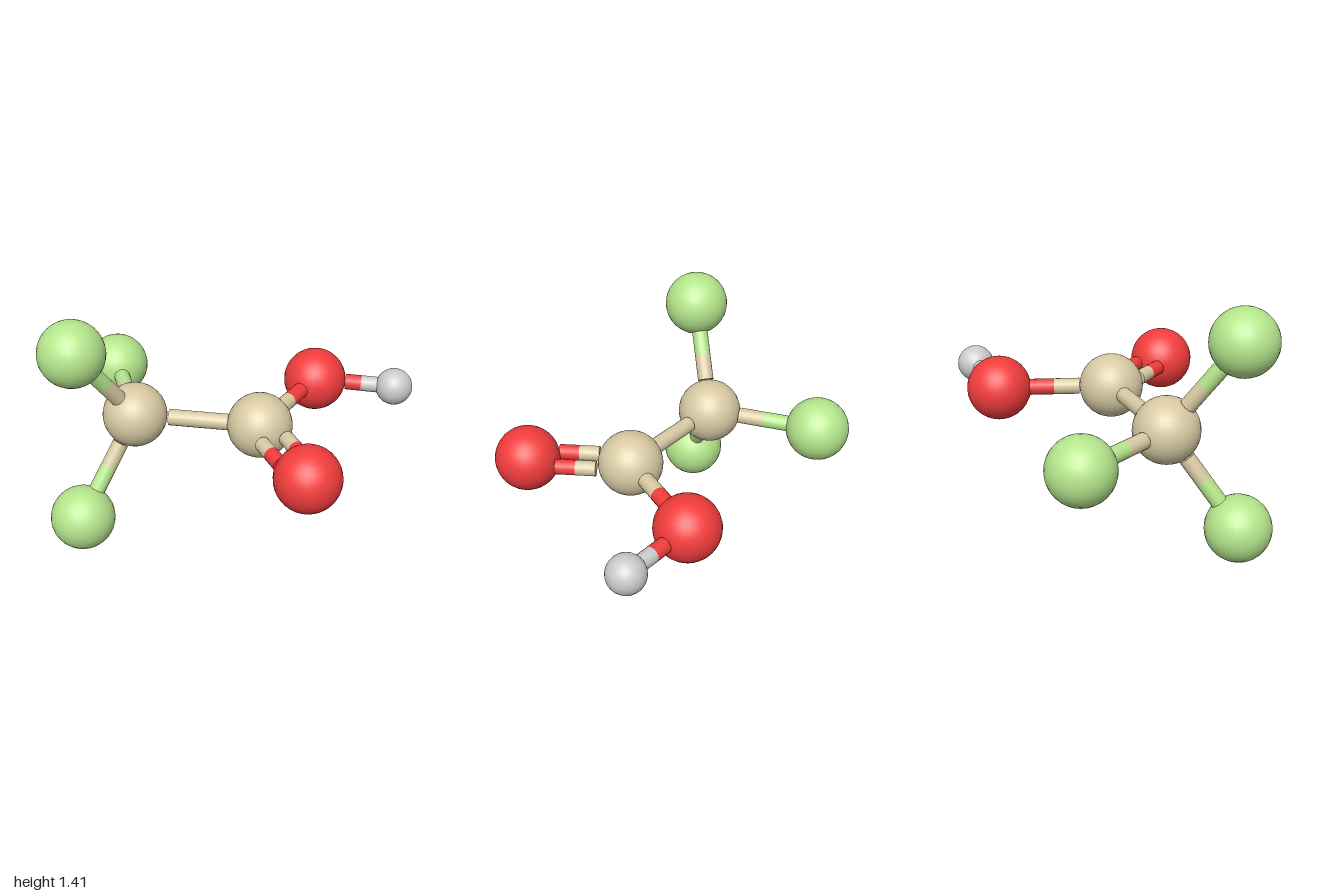
import * as THREE from 'three';

const material = (color) => new THREE.MeshStandardMaterial({ color });

export function createModel() {
  const model = new THREE.Group();
  model.name = 'molecule';

  const tan = material(0xd8caa4);
  const green = material(0xb5e68c);
  const red = material(0xf23c3c);
  const grey = material(0xcccccc);

  const R = 0.183;
  const BOND = 0.046;
  const up = new THREE.Vector3(0, 1, 0);

  // Atoms
  const atom = (name, mat, x, y, z, radius = R) => {
    const mesh = new THREE.Mesh(new THREE.SphereGeometry(radius, 28, 18), mat);
    mesh.name = name;
    mesh.position.set(x, y, z);
    model.add(mesh);
    return { mat, radius, pos: mesh.position };
  };
  const carbonA = atom('carbonA', tan, -0.557, 0.711, 0.037);
  const carbonB = atom('carbonB', tan, 0.157, 0.716, 0.065);
  const fluorines = [
    atom('fluorineTop', green, -0.811, 1.228, 0.332),
    atom('fluorineBottom', green, -0.817, 0.187, 0.338),
    atom('fluorineBack', green, -0.796, 0.7, -0.567),
  ];
  const oxygenSingle = atom('oxygenSingle', red, 0.419, 0.71, -0.524);
  const oxygenDouble = atom('oxygenDouble', red, 0.465, 0.71, 0.559);
  const hydrogen = atom('hydrogen', grey, 0.889, 0.706, -0.497, 0.108);

  // Closed rod between two points
  const rod = (name, mat, from, to, radius) => {
    const dir = to.clone().sub(from);
    const mesh = new THREE.Mesh(new THREE.CylinderGeometry(radius, radius, dir.length(), 18), mat);
    mesh.name = name;
    mesh.position.copy(from).lerp(to, 0.5);
    mesh.quaternion.setFromUnitVectors(up, dir.normalize());
    model.add(mesh);
  };

  // Bond from surface to surface, each half in the colour of its atom
  const bond = (name, a, b, { offset = 0, radius = BOND, startGap = 0 } = {}) => {
    const dir = b.pos.clone().sub(a.pos).normalize();
    const side = new THREE.Vector3().crossVectors(dir, up).normalize().multiplyScalar(offset);
    const start = a.pos.clone().addScaledVector(dir, a.radius + startGap).add(side);
    const end = b.pos.clone().addScaledVector(dir, -b.radius + 0.012).add(side);
    const middle = start.clone().lerp(end, 0.5);
    rod(name + 'Start', a.mat, start, middle, radius);
    rod(name + 'End', b.mat, middle, end, radius);
  };

  bond('carbonBond', carbonA, carbonB, { startGap: 0.016 });
  fluorines.forEach((f, i) => bond('fluorineBond' + (i + 1), carbonA, f));
  bond('oxygenBond', carbonB, oxygenSingle);
  bond('hydrogenBond', oxygenSingle, hydrogen);
  // Paired rods of the double bond
  for (const s of [-1, 1]) {
    bond(s < 0 ? 'doubleBondA' : 'doubleBondB', carbonB, oxygenDouble, { offset: s * 0.073, radius: 0.043 });
  }

  return model;
}
